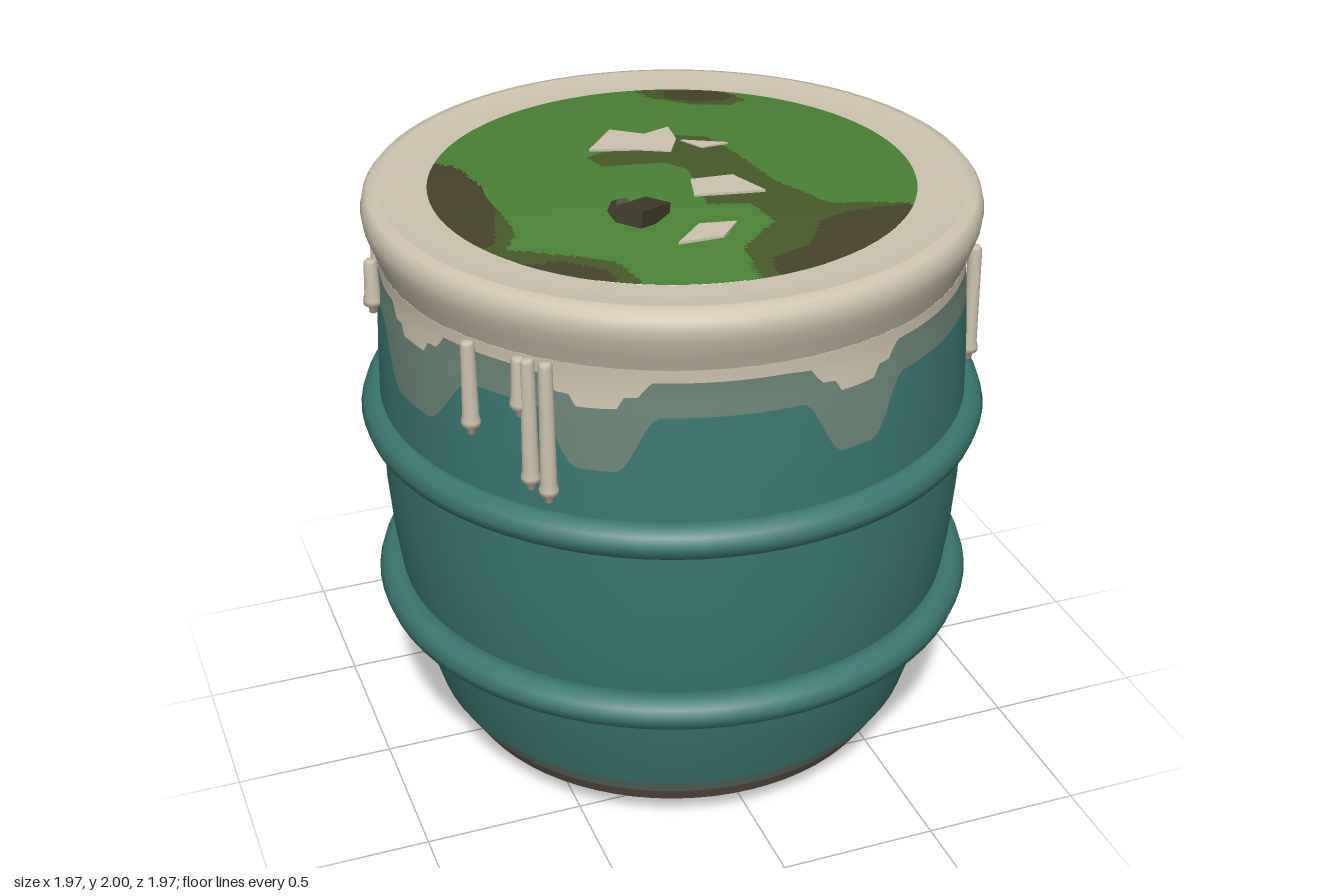
import * as THREE from 'three';

const mat = (name, color, side = THREE.FrontSide) => {
  const m = new THREE.MeshStandardMaterial({ color, side });
  m.name = name;
  return m;
};

// Wall radius by height, as [radius, y]
const WALL = [[0.79, 0.21], [0.835, 0.36], [0.872, 0.52], [0.905, 0.75], [0.92, 0.95], [0.923, 1.2],
  [0.918, 1.4], [0.908, 1.57], [0.9, 1.66], [0.902, 1.72]];
const lerpWall = y => {
  let i = 0;
  while (i < WALL.length - 2 && y > WALL[i + 1][1]) i++;
  const [r0, y0] = WALL[i], [r1, y1] = WALL[i + 1];
  return r0 + (r1 - r0) * (y - y0) / (y1 - y0);
};

// Distance around the barrel between two angles
const around = (a, b) => Math.abs(Math.atan2(Math.sin(a - b), Math.cos(a - b)));
const bump = (d, w, flat) => 1 - THREE.MathUtils.smoothstep(d, w * flat, w);
const DRIPS = [0.26, -0.59, -1.33, -2.41, 2.99];
const LONG_DRIP = 2.07;

// Lower edge of the pale paint and of the thin wash beneath it
function paintEdge(t) {
  let y = 1.68 - 0.01 * Math.max(0, Math.sin(t * 7));
  for (const c of DRIPS) y -= 0.045 * bump(around(t, c), 0.17, 0.8) + 0.035 * bump(around(t, c), 0.09, 0.7);
  const d = around(t, LONG_DRIP);
  return y - 0.065 * bump(d, 0.13, 0.8) - 0.085 * bump(d, 0.05, 0.5);
}
function washEdge(t) {
  let y = 1.575;
  for (const c of DRIPS) y -= 0.175 * bump(around(t, c), c === -1.33 ? 0.3 : 0.2, 0.3);
  const d = around(t, LONG_DRIP);
  return y - 0.34 * THREE.MathUtils.clamp((0.11 - d) / 0.06, 0, 1);
}

// Strip of wall between two edges that vary with the angle
function wallStrip(low, high, rows = 6, segs = 288) {
  const pos = [], nor = [], idx = [];
  for (let i = 0; i <= segs; i++) {
    const t = i / segs * Math.PI * 2, s = Math.sin(t), c = Math.cos(t);
    for (let j = 0; j <= rows; j++) {
      const y = low(t) + (high(t) - low(t)) * j / rows, r = lerpWall(y);
      const slope = (lerpWall(y + 0.04) - lerpWall(y - 0.04)) / 0.08;
      const n = new THREE.Vector3(s, -slope, c).normalize();
      pos.push(r * s, y, r * c);
      nor.push(n.x, n.y, n.z);
      if (i < segs && j < rows) {
        const a = i * (rows + 1) + j, b = a + rows + 1;
        idx.push(a, b, a + 1, b + 1, a + 1, b);
      }
    }
  }
  const g = new THREE.BufferGeometry();
  g.setAttribute('position', new THREE.Float32BufferAttribute(pos, 3));
  g.setAttribute('normal', new THREE.Float32BufferAttribute(nor, 3));
  g.setIndex(idx);
  return g;
}

// Blotches on the contents, as [x, z] outlines
const DARK = [
  [[-0.68, -0.4], [-0.6, -0.3], [-0.57, -0.1], [-0.58, 0.08], [-0.64, 0.28], [-0.8, 0.3], [-0.8, -0.4]],
  [[-0.66, 0.42], [-0.5, 0.46], [-0.4, 0.55], [-0.36, 0.8], [-0.7, 0.7]],
  [[0.22, -0.69], [0.2, -0.6], [0.28, -0.52], [0.38, -0.52], [0.43, -0.56], [0.36, -0.65]],
  [[0.03, 0.8], [0.06, 0.65], [0.2, 0.6], [0.28, 0.48], [0.4, 0.44], [0.7, 0.42], [0.5, 0.8]],
];
const OLIVE = [
  [[-0.6, -0.3], [-0.57, 0.08], [-0.57, 0.25], [-0.62, 0.33], [-0.36, 0.52], [-0.32, 0.7], [-0.8, 0.6], [-0.7, 0]],
  [[0.12, -0.8], [0.15, -0.62], [0.25, -0.5], [0.37, -0.46], [0.44, -0.5], [0.4, -0.65], [0.3, -0.8]],
  [[-0.22, -0.15], [-0.2, -0.06], [-0.02, -0.02], [0.03, 0.05], [0, 0.3], [0.12, 0.33], [0.15, 0.45], [0, 0.58],
    [-0.02, 0.8], [0.4, 0.7], [0.6, 0.42], [0.35, 0.38], [0.25, 0.2], [0.22, 0], [0.18, -0.18], [0.05, -0.25]],
];
const inside = (poly, x, z) => poly.reduce((hit, [ax, az], i) => {
  const [bx, bz] = poly[(i + 1) % poly.length];
  return (az > z) !== (bz > z) && x < ax + (bx - ax) * (z - az) / (bz - az) ? !hit : hit;
}, false);

// Shallow dome whose faces are sorted into colour groups
const R_TOP = 0.74;
const domeY = r => 1.945 - 0.045 * (r / R_TOP) ** 2;
function contentsGeometry(rings = 64, segs = 200) {
  const g = new THREE.LatheGeometry(
    Array.from({ length: rings + 1 }, (_, i) => {
      const r = R_TOP * (1 - i / rings);
      return new THREE.Vector2(r, domeY(r));
    }), segs);
  const p = g.attributes.position, src = g.index.array, sorted = [[], [], []];
  for (let i = 0; i < src.length; i += 3) {
    const f = [src[i], src[i + 1], src[i + 2]];
    const x = f.reduce((s, k) => s + p.getX(k), 0) / 3, z = f.reduce((s, k) => s + p.getZ(k), 0) / 3;
    const kind = DARK.some(q => inside(q, x, z)) ? 2 : OLIVE.some(q => inside(q, x, z)) ? 1 : 0;
    sorted[kind].push(...f);
  }
  g.setIndex(sorted.flat());
  let start = 0;
  sorted.forEach((s, k) => { g.addGroup(start, s.length, k); start += s.length; });
  return g;
}

export function createModel() {
  const teal = mat('teal paint', 0x3a7770), cream = mat('pale paint', 0xcdc3ae), wash = mat('thin wash', 0x6c8578);
  const rust = mat('rust', 0x80432d), grime = mat('grime', 0x6f6154), green = mat('green sludge', 0x498234);
  const olive = mat('olive sludge', 0x475a28), dark = mat('dark sludge', 0x46422a), stone = mat('dark debris', 0x403d2c);
  const model = new THREE.Group();
  model.name = 'barrel';
  const add = (name, geo, material) => {
    const m = new THREE.Mesh(geo, material);
    m.name = name;
    model.add(m);
    return m;
  };
  const lathe = (name, pts, material) =>
    add(name, new THREE.LatheGeometry(pts.map(([r, y]) => new THREE.Vector2(r, y)), 72), material);

  // Base and lower wall
  lathe('bottom', [[0, 0], [0.42, 0.005], [0.6, 0.03]], rust);
  lathe('rustyEdge', [[0.6, 0.03], [0.66, 0.058], [0.715, 0.09]], rust);
  lathe('grimeBand', [[0.715, 0.09], [0.753, 0.15]], grime);
  lathe('lowerWashBand', [[0.753, 0.15], [0.79, 0.21]], wash);
  lathe('wall', WALL.slice(0, 6), teal);

  // Upper wall with dripping paint edges
  add('upperWall', wallStrip(() => 1.2, washEdge), teal);
  add('washDrips', wallStrip(washEdge, paintEdge), wash);
  add('paintDrips', wallStrip(paintEdge, () => 1.72), cream);

  // Flared rim and its flat lip
  lathe('rim', [[0.902, 1.72], [0.92, 1.77], [0.938, 1.82], [0.942, 1.855], [0.935, 1.885], [0.92, 1.903], [0.89, 1.91]], cream);
  lathe('lip', [[0.89, 1.91], [0.855, 1.906], [0.8, 1.899], [R_TOP, 1.899]], cream);

  // Raised hoops
  for (const [name, r, y] of [['upperHoop', 0.925, 1.19], ['lowerHoop', 0.906, 0.577]]) {
    add(name, new THREE.TorusGeometry(r, 0.058, 10, 72).rotateX(Math.PI / 2), teal).position.y = y;
  }

  // Hanging strands, as [angle, lowest y]
  [[1.11, 1.33], [2.42, 1.32], [2.68, 1.35], [-2.02, 1.45], [-1.71, 1.54], [-1.02, 1.42],
    [-0.83, 1.53], [-0.8, 1.3], [-0.74, 1.27]].forEach(([t, low], i) => {
    const h = 1.72 - low;
    const pts = [[0, 0], [0.013, 0.008], [0.014, 0.025], [0.029, 0.035], [0.03, 0.05], [0.025, 0.07],
      [0.021, h - 0.01], [0.015, h], [0, h]];
    const s = lathe('paintStrand' + (i + 1), pts, cream);
    s.geometry = new THREE.LatheGeometry(pts.map(([r, y]) => new THREE.Vector2(r, y)), 12);
    s.position.set(0.925 * Math.sin(t), low, 0.925 * Math.cos(t));
  });

  // Sludge inside the rim
  add('contents', contentsGeometry(), [green, olive, dark]);

  // Flat pale flakes floating on top
  [[[-0.2, -0.19], [-0.09, -0.32], [0, -0.25], [0.09, -0.28], [0.08, -0.18], [0.03, -0.09], [-0.06, -0.14]],
    [[0.09, -0.17], [0.22, -0.1], [0.13, -0.09]],
    [[0.01, 0.13], [0.14, 0.14], [0.19, 0.28], [-0.02, 0.24]],
    [[-0.17, 0.51], [-0.07, 0.41], [0.04, 0.43], [-0.03, 0.51]]].forEach((pts, i) => {
    const shape = new THREE.Shape(pts.map(([x, z]) => new THREE.Vector2(x, -z)));
    const geo = new THREE.ExtrudeGeometry(shape, { depth: 0.008, bevelEnabled: false }).rotateX(-Math.PI / 2);
    add('flake' + (i + 1), geo, cream).position.y = domeY(Math.min(...pts.map(p => Math.hypot(...p)))) - 0.004;
  });

  // Dark debris: a tilted slab with a lump beside it
  const slab = add('debrisSlab', new THREE.BoxGeometry(0.16, 0.05, 0.085), stone);
  slab.position.set(-0.21, 1.957, 0.33);
  slab.rotation.set(0, 0.69, -0.2, 'YXZ');
  add('debrisLump', new THREE.DodecahedronGeometry(0.042), stone).position.set(-0.26, 1.95, 0.285);
  return model;
}
